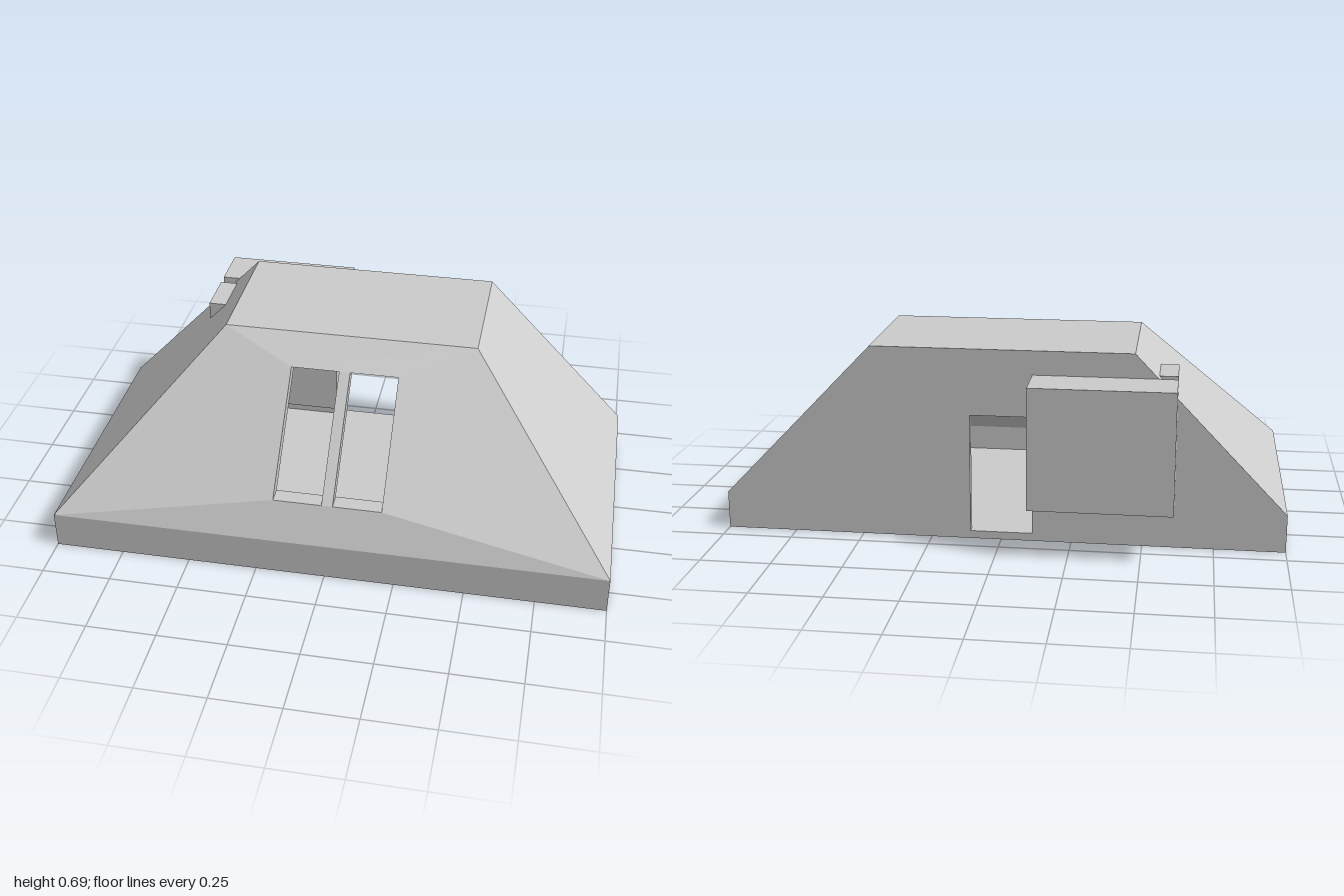
import * as THREE from 'three';

const material = new THREE.MeshStandardMaterial({ color: 0xcccccc, flatShading: true, side: THREE.DoubleSide });

function add(group, name, geometry, x = 0, y = 0, z = 0) {
  const mesh = new THREE.Mesh(geometry, material);
  mesh.name = name;
  mesh.position.set(x, y, z);
  group.add(mesh);
  return mesh;
}

// Flat faces from four-cornered loops, counter-clockwise seen from their front
function quadGeometry(quads) {
  const points = quads.flatMap(([a, b, c, d]) => [a, b, c, a, c, d].flat());
  const geometry = new THREE.BufferGeometry();
  geometry.setAttribute('position', new THREE.Float32BufferAttribute(points, 3));
  geometry.computeVertexNormals();
  return geometry;
}

const mirrorX = (quad) => quad.map(([x, y, z]) => [-x, y, z]).reverse();

// Window opening corners: half width, then [y, z] of the sill and the header
const windowX = 0.195, sill = [0.265, 0.53], header = [0.61, 0.19], wallDepth = 0.06;

// Sloped skin, open at the back, with a window opening in the front
function skin({ x, xt, yb, ym, yt, zf, zt, zb, shift }, inward) {
  const s = [sill[0], sill[1] - shift], h = [header[0], header[1] - shift];
  const half = [
    [[x, yb, zf], [x, yb, zb], [x, ym, zb], [x, ym, zf]],
    [[x, ym, zf], [x, ym, zb], [xt, yt, zb], [xt, yt, zt]],
    [[windowX, ...s], [x, ym, zf], [xt, yt, zt], [windowX, ...h]],
  ];
  const full = [
    [[-x, yb, zf], [x, yb, zf], [x, ym, zf], [-x, ym, zf]],
    [[-x, ym, zf], [x, ym, zf], [windowX, ...s], [-windowX, ...s]],
    [[-windowX, ...h], [windowX, ...h], [xt, yt, zt], [-xt, yt, zt]],
    [[-xt, yt, zt], [xt, yt, zt], [xt, yt, zb], [-xt, yt, zb]],
    [[-x, yb, zb], [x, yb, zb], [x, yb, zf], [-x, yb, zf]],
  ];
  const quads = [...half, ...half.map(mirrorX), ...full];
  return quadGeometry(inward ? quads.map((q) => [...q].reverse()) : quads);
}

export function createModel() {
  const model = new THREE.Group();
  model.name = 'bunker';

  // Outer and inner faces of the sloped walls, roof and floor
  add(model, 'outerShell', skin({
    x: 1, xt: 0.462, yb: 0, ym: 0.135, yt: 0.695, zf: 0.597, zt: 0.08, zb: -0.425, shift: 0,
  }, false));
  add(model, 'innerShell', skin({
    x: 0.95, xt: 0.44, yb: 0.028, ym: 0.125, yt: 0.66, zf: 0.54, zt: 0.05, zb: -0.395, shift: wallDepth,
  }, true));

  // Window reveals
  const at = (x, [y, z], back) => [x, y, z - (back ? wallDepth : 0)];
  const jamb = [at(windowX, sill, true), at(windowX, sill), at(windowX, header), at(windowX, header, true)].reverse();
  add(model, 'windowReveal', quadGeometry([
    jamb, mirrorX(jamb),
    [at(-windowX, sill), at(windowX, sill), at(windowX, sill, true), at(-windowX, sill, true)],
    [at(-windowX, header, true), at(windowX, header, true), at(windowX, header), at(-windowX, header)],
  ]));

  // Centre post between the two windows, leaning with the slope
  const post = new THREE.Shape([
    [sill[1], sill[0]], [header[1], header[0]],
    [header[1] - wallDepth, header[0]], [sill[1] - wallDepth, sill[0]],
  ].map(([z, y]) => new THREE.Vector2(-z, y)));
  const postGeometry = new THREE.ExtrudeGeometry(post, { depth: 0.04, bevelEnabled: false });
  postGeometry.rotateY(Math.PI / 2);
  add(model, 'windowPost', postGeometry, -0.02);

  // Back wall with the doorway
  const wall = new THREE.Shape([
    [-1, 0], [1, 0], [1, 0.135], [0.462, 0.695], [-0.462, 0.695], [-1, 0.135],
  ].map(([x, y]) => new THREE.Vector2(x, y)));
  wall.holes.push(new THREE.Path([
    [-0.11, 0.028], [-0.11, 0.457], [0.11, 0.457], [0.11, 0.028],
  ].map(([x, y]) => new THREE.Vector2(x, y))));
  add(model, 'backWall', new THREE.ExtrudeGeometry(wall, { depth: 0.03, bevelEnabled: false }), 0, 0, -0.425);

  // Matching boxes on the outside and inside of the back wall
  const box = new THREE.BoxGeometry(0.5, 0.433, 0.173);
  add(model, 'outerBox', box, -0.36, 0.3925, -0.5115);
  add(model, 'innerBox', box, -0.36, 0.3925, -0.296);

  return model;
}
